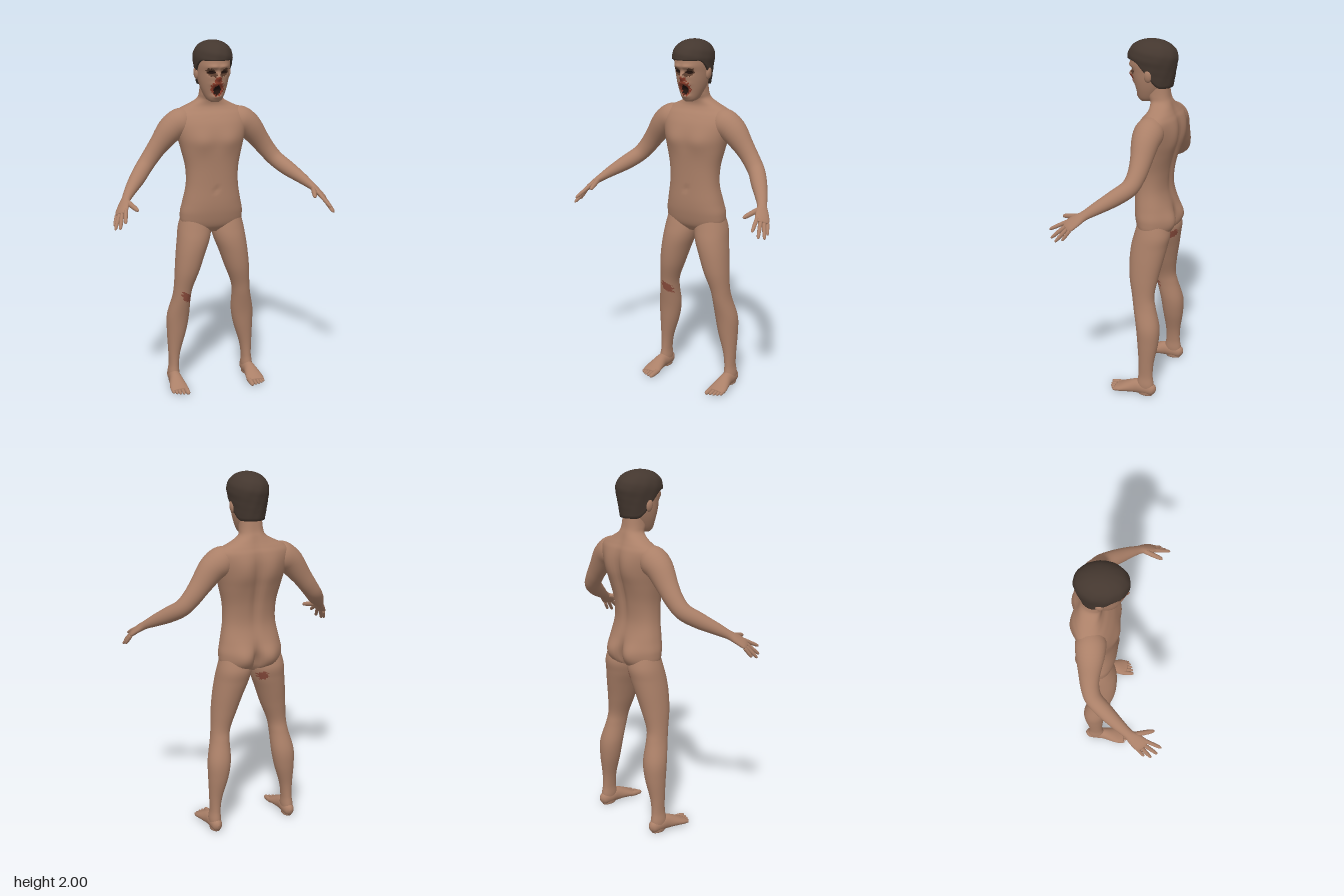
import * as THREE from 'three';

const V = (x, y, z) => new THREE.Vector3(x, y, z);
const mat = (name, color) => Object.assign(new THREE.MeshStandardMaterial({ color }), { name });
const bump = (d, w) => Math.exp(-((d / w) ** 2));

// Smoothly resamples a list of number rows
function resample(rows, count) {
  const out = [];
  for (let i = 0; i <= count; i++) {
    const f = (i / count) * (rows.length - 1), k = Math.min(Math.floor(f), rows.length - 2), t = f - k;
    const at = (n) => rows[Math.max(0, Math.min(rows.length - 1, n))];
    out.push(rows[k].map((b, c) => {
      const a = at(k - 1)[c], d = at(k + 1)[c], e = at(k + 2)[c];
      return b + 0.5 * t * (d - a + t * (2 * a - 5 * b + 4 * d - e + t * (3 * (b - d) + e - a)));
    }));
  }
  return out;
}

// Skins closed rings of points and caps both ends
function loft(rings) {
  const n = rings[0].length, last = rings.length - 1, pts = rings.flat(), index = [];
  const centre = (r) => r.reduce((s, p) => s.add(p), V(0, 0, 0)).divideScalar(n);
  const c0 = pts.push(centre(rings[0])) - 1, c1 = pts.push(centre(rings[last])) - 1;
  for (let j = 0; j < n; j++) {
    const k = (j + 1) % n;
    for (let i = 0; i < last; i++) {
      const a = i * n + j, b = i * n + k;
      index.push(a, b, b + n, a, b + n, a + n);
    }
    index.push(c0, k, j, c1, last * n + j, last * n + k);
  }
  const g = new THREE.BufferGeometry().setFromPoints(pts);
  g.setIndex(index);
  g.computeVertexNormals();
  return g;
}

// Upright form from rows [y, centreX, halfWidth, zFront, zBack], listed upwards
function upright(rows, count, seg, power = 2, warp = () => {}) {
  const soft = (v) => Math.sign(v) * Math.abs(v) ** (2 / power);
  return loft(resample(rows, count).map(([y, cx, rx, zf, zb]) => Array.from({ length: seg }, (_, j) => {
    const a = (j / seg) * Math.PI * 2;
    const p = V(cx + rx * soft(Math.sin(a)), y, (zf + zb) / 2 + ((zf - zb) / 2) * soft(Math.cos(a)));
    warp(p, Math.cos(a));
    return p;
  })));
}

// Limb along a path of rows [x, y, z, sideRadius, otherRadius]
function limb(rows, side, count = 30, seg = 24) {
  const s = resample(rows, count), pos = (i) => V(...s[Math.max(0, Math.min(count, i))].slice(0, 3));
  return loft(s.map((r, i) => {
    const t = pos(i + 1).sub(pos(i - 1)).normalize();
    const u = side.clone().addScaledVector(t, -side.dot(t)).normalize(), v = t.clone().cross(u);
    return Array.from({ length: seg }, (_, j) => {
      const a = (j / seg) * Math.PI * 2;
      return pos(i).addScaledVector(u, r[3] * Math.cos(a)).addScaledVector(v, r[4] * Math.sin(a));
    });
  }));
}

// Tapered digit with a rounded tip
function digit(a, b, r, side) {
  const row = (f, k) => [...a.clone().lerp(b, f).toArray(), r * k, r * k];
  return limb([row(0, 1), row(0.4, 1), row(0.8, 0.85), row(0.95, 0.55), row(1, 0.1)], side, 12, 10);
}

function mirrored(geo) {
  const g = geo.clone().scale(-1, 1, 1), ix = g.index.array;
  for (let i = 0; i < ix.length; i += 3) [ix[i], ix[i + 1]] = [ix[i + 1], ix[i]];
  g.computeVertexNormals();
  return g;
}

// Sorts faces into material groups; rule(centre) returns a material slot
function paint(geo, slots, rule) {
  const lists = Array.from({ length: slots }, () => []), ix = geo.index.array, p = geo.attributes.position;
  for (let i = 0; i < ix.length; i += 3) {
    const c = V(0, 0, 0);
    for (let k = 0; k < 3; k++) c.add(V(0, 0, 0).fromBufferAttribute(p, ix[i + k]));
    lists[rule(c.divideScalar(3))].push(ix[i], ix[i + 1], ix[i + 2]);
  }
  geo.setIndex(lists.flat());
  let start = 0;
  lists.forEach((l, m) => { geo.addGroup(start, l.length, m); start += l.length; });
  return geo;
}

export function createModel() {
  const model = new THREE.Group();
  const skin = mat('skin', 0xab8068), hairMat = mat('hair', 0x44372f), blood = mat('blood', 0x923f2c);
  const dark = mat('darkHollow', 0x24140f), shade = mat('browShade', 0x5c3e2e), wound = mat('wound', 0x8c4d3d);
  const add = (name, geo, m) => {
    const mesh = new THREE.Mesh(geo, m);
    mesh.name = name;
    model.add(mesh);
  };
  const pair = (name, geo) => {
    add('left' + name, geo, skin);
    add('right' + name, mirrored(geo), skin);
  };

  // Torso and neck, with chest, navel, spine and seat modelled by rule
  add('torso', upright([
    [0.925, 0, 0.06, -0.07, -0.17], [0.965, 0, 0.165, -0.035, -0.205], [1.03, 0, 0.181, -0.016, -0.22],
    [1.1, 0, 0.168, -0.008, -0.213], [1.2, 0, 0.15, -0.008, -0.193], [1.3, 0, 0.152, -0.006, -0.2],
    [1.4, 0, 0.174, -0.001, -0.222], [1.47, 0, 0.192, 0, -0.238], [1.54, 0, 0.208, -0.02, -0.243],
    [1.59, 0, 0.208, -0.05, -0.236], [1.62, 0, 0.178, -0.075, -0.222], [1.645, 0, 0.125, -0.085, -0.21],
    [1.675, 0, 0.074, -0.08, -0.198], [1.71, 0, 0.063, -0.062, -0.185], [1.78, 0, 0.06, -0.05, -0.175],
  ], 90, 72, 2.3, (p, f) => {
    const ax = Math.abs(p.x);
    if (f > 0) {
      p.z += f * 0.012 * bump(ax - 0.085, 0.06) * bump(p.y - 1.45, 0.06);
      p.z -= 0.008 * bump(p.x, 0.014) * bump(p.y - 1.18, 0.014);
    } else {
      p.z += 0.018 * bump(p.x, 0.025) * bump(p.y - 1.4, 0.2) + 0.045 * bump(p.x, 0.018) * bump(p.y - 0.99, 0.07);
      p.z += f * (0.036 * bump(ax - 0.085, 0.065) * bump(p.y - 1.01, 0.075));
      p.z += f * 0.014 * bump(ax - 0.08, 0.05) * bump(p.y - 1.5, 0.09);
    }
  }), skin);

  // Legs, with scrapes on the right one
  const leg = upright([
    [0, 0.228, 0.026, -0.1, -0.185], [0.06, 0.228, 0.033, -0.09, -0.19], [0.12, 0.225, 0.029, -0.098, -0.182],
    [0.2, 0.22, 0.036, -0.098, -0.185], [0.32, 0.205, 0.056, -0.086, -0.204], [0.42, 0.196, 0.064, -0.074, -0.206],
    [0.53, 0.182, 0.053, -0.052, -0.178], [0.6, 0.172, 0.054, -0.04, -0.166], [0.7, 0.15, 0.07, -0.018, -0.18],
    [0.8, 0.128, 0.083, -0.01, -0.2], [0.88, 0.108, 0.093, -0.013, -0.215], [0.95, 0.097, 0.094, -0.028, -0.224],
    [1.03, 0.095, 0.075, -0.05, -0.2],
  ], 100, 48, 2.1);
  add('leftLeg', leg, skin);
  add('rightLeg', paint(mirrored(leg), 2, (c) => {
    const rough = 0.2 * Math.sin(c.y * 300 + c.x * 170);
    const knee = c.z > -0.1 && Math.hypot((c.x + 0.165 + (c.y - 0.55) * 0.5) / 0.024, (c.y - 0.55) / 0.036) + rough < 1;
    const thigh = c.z < -0.13 && Math.hypot((c.x + 0.045) / 0.025, (c.y - 0.9) / 0.025) + rough < 1;
    return knee || thigh ? 1 : 0;
  }), [skin, wound]);

  // Feet and toes
  const X = V(1, 0, 0);
  pair('Foot', limb([
    [0.228, 0.03, -0.202, 0.008, 0.012], [0.228, 0.034, -0.185, 0.027, 0.034], [0.228, 0.041, -0.14, 0.034, 0.041],
    [0.23, 0.042, -0.09, 0.035, 0.042], [0.232, 0.032, -0.04, 0.045, 0.032], [0.233, 0.021, 0.005, 0.052, 0.021],
    [0.232, 0.016, 0.035, 0.047, 0.013],
  ], X));
  [[0.196, 0.08, 0.015], [0.219, 0.076, 0.0105], [0.239, 0.07, 0.01], [0.257, 0.06, 0.01], [0.273, 0.047, 0.01]]
    .forEach(([x, z, r], i) => pair('Toe' + (i + 1), digit(V(x, 0.019, 0), V(x, 0.012, z), r, X)));

  // Arms running into flattened palms
  const across = V(-0.75, 0.53, 0.38);
  pair('Arm', limb([
    [0.11, 1.565, -0.135, 0.055, 0.06], [0.165, 1.55, -0.135, 0.078, 0.08], [0.225, 1.515, -0.135, 0.075, 0.074],
    [0.295, 1.43, -0.138, 0.055, 0.058], [0.345, 1.365, -0.133, 0.048, 0.05], [0.39, 1.312, -0.112, 0.046, 0.046],
    [0.44, 1.267, -0.052, 0.043, 0.043], [0.495, 1.222, 0.02, 0.034, 0.032], [0.532, 1.188, 0.074, 0.027, 0.022],
    [0.553, 1.165, 0.108, 0.036, 0.018], [0.573, 1.138, 0.143, 0.041, 0.015], [0.583, 1.126, 0.158, 0.033, 0.009],
  ], across, 60, 32));
  [
    ['Thumb', [0.535, 1.18, 0.1], [0.499, 1.152, 0.213], 0.014],
    ['IndexFinger', [0.552, 1.152, 0.155], [0.577, 1.1, 0.255], 0.011],
    ['MiddleFinger', [0.57, 1.14, 0.153], [0.602, 1.064, 0.235], 0.011],
    ['RingFinger', [0.584, 1.128, 0.145], [0.622, 1.055, 0.203], 0.0105],
    ['LittleFinger', [0.597, 1.118, 0.13], [0.618, 1.066, 0.165], 0.0095],
  ].forEach(([name, a, b, r]) => pair(name, digit(V(...a), V(...b), r, across)));

  // Head, with brow, sockets, nose and gaping mouth shaped by rule
  const head = upright([
    [1.668, 0, 0.022, -0.02, -0.07], [1.685, 0, 0.045, -0.008, -0.11], [1.73, 0, 0.066, 0.004, -0.145],
    [1.78, 0, 0.08, 0.016, -0.175], [1.83, 0, 0.087, 0.026, -0.195], [1.88, 0, 0.09, 0.036, -0.2],
    [1.94, 0, 0.082, 0.02, -0.185], [1.98, 0, 0.045, -0.03, -0.13],
  ], 90, 96, 2.2, (p, f) => {
    if (f < 0) return;
    const ax = Math.abs(p.x);
    p.z += f * (0.028 * bump(ax, 0.014) * bump(p.y - 1.805, 0.024) + 0.01 * bump(ax - 0.03, 0.03) * bump(p.y - 1.862, 0.012)
      - 0.016 * bump(ax - 0.035, 0.018) * bump(p.y - 1.835, 0.016) + 0.012 * bump(ax, 0.03) * bump(p.y - 1.77, 0.012)
      + 0.008 * bump(ax, 0.03) * bump(p.y - 1.7, 0.012) - 0.022 * bump(ax, 0.02) * bump(p.y - 1.735, 0.02));
  });
  add('head', paint(head, 4, (c) => {
    if (c.z < -0.03) return 0;
    const ax = Math.abs(c.x), rough = 0.18 * Math.sin(c.x * 330 + 1) * Math.sin(c.y * 270);
    if (Math.hypot(ax / 0.021, (c.y - 1.735) / 0.027) + rough < 1) return 2;
    if (Math.hypot(ax / 0.036, (c.y - 1.745) / 0.042) + rough < 1) return 1;
    if (Math.hypot(ax / 0.02, (c.y - 1.795) / 0.016) + rough < 1) return 1;
    if (Math.hypot((ax - 0.036) / 0.019, (c.y - 1.833) / 0.008) + rough < 1) return 2;
    return Math.hypot((ax - 0.036) / 0.026, (c.y - 1.832 - (ax - 0.036) * 0.4) / 0.02) + rough < 1 ? 3 : 0;
  }), [skin, blood, dark, shade]);
  pair('Ear', new THREE.SphereGeometry(1, 16, 12).scale(0.013, 0.033, 0.021).rotateZ(-0.15).translate(0.092, 1.82, -0.092));

  // Cropped hair, high over the brow and low at the nape
  const rings = [];
  for (let i = -1; i <= 24; i++) {
    rings.push(Array.from({ length: 48 }, (_, j) => {
      const a = (j / 48) * Math.PI * 2, f = Math.cos(a), v = Math.sin((Math.max(i, 0) / 24) * Math.PI / 2);
      const edge = 1.755 + 0.142 * THREE.MathUtils.smoothstep(f, -0.65, 0.65);
      const y = edge + (2 - edge) * v;
      let r = y > 1.9 ? Math.max(0, 1 - ((y - 1.9) / 0.1) ** 2.4) ** 0.5 : 1 - 1.3 * (1.9 - y);
      r *= (i < 0 ? 0.8 : 1) * (1 + 0.012 * Math.sin(a * 7 + y * 50) * Math.sin(a * 4 - y * 90));
      return V(0.107 * r * Math.sin(a), y, -0.085 + 0.137 * r * f);
    }));
  }
  add('hair', loft(rings), hairMat);
  return model;
}
